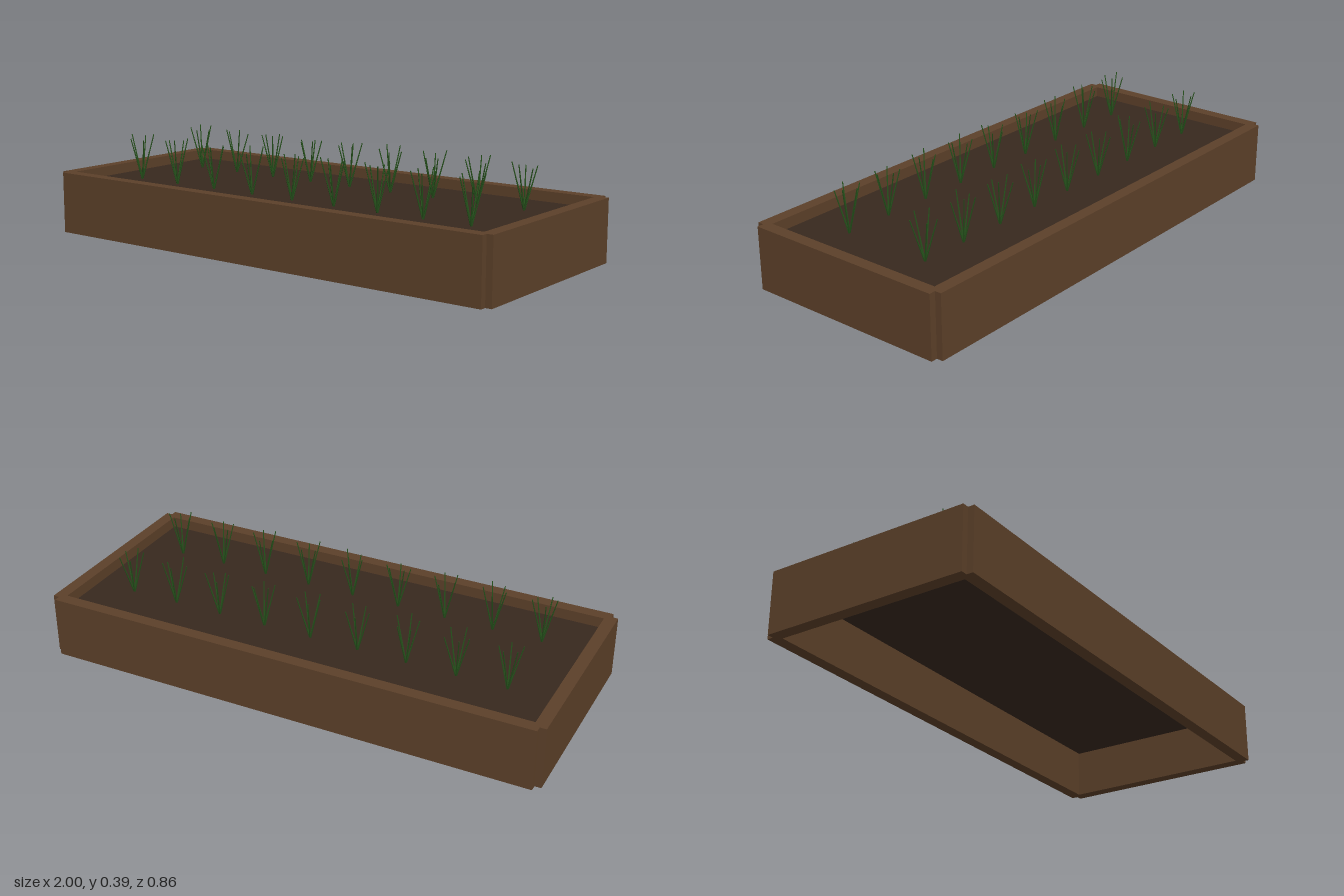
import * as THREE from 'three';

export function createModel() {
  const group = new THREE.Group();
  const wood = new THREE.MeshStandardMaterial({ color: 0x5c4029 });
  const soilMat = new THREE.MeshStandardMaterial({ color: 0x37281e });
  const leaf = new THREE.MeshStandardMaterial({ color: 0x244f1a, flatShading: true });

  const box = (name, w, h, d, x, y, z, material) => {
    const mesh = new THREE.Mesh(new THREE.BoxGeometry(w, h, d), material);
    mesh.name = name;
    mesh.position.set(x, y, z);
    group.add(mesh);
  };

  // Four boards, open underneath; the long ones stand proud of the ends
  const H = 0.243;
  box('frontBoard', 1.95, H, 0.048, 0, H / 2, 0.406, wood);
  box('backBoard', 1.95, H, 0.048, 0, H / 2, -0.406, wood);
  box('leftBoard', 0.048, H, 0.81, 0.976, H / 2, 0, wood);
  box('rightBoard', 0.048, H, 0.81, -0.976, H / 2, 0, wood);

  // Soil slab with a narrow gap all round
  const soilTop = 0.205;
  box('soil', 1.89, 0.015, 0.75, 0, soilTop - 0.0075, 0, soilMat);

  // Seedlings: two rows of nine, five splayed blades each
  let seed = 7;
  const rand = () => (seed = (seed * 16807) % 2147483647) / 2147483647;
  const bladeGeo = new THREE.CylinderGeometry(0.002, 0.0035, 1, 5);
  bladeGeo.translate(0, 0.5, 0);
  const up = new THREE.Vector3(0, 1, 0);

  for (const z of [-0.18, 0.18]) {
    for (let i = 0; i < 9; i++) {
      const plant = new THREE.Group();
      plant.name = 'seedling';
      plant.position.set((i - 4) * 0.195, soilTop - 0.003, z);
      const turn = rand() * Math.PI * 2;
      for (let k = 0; k < 5; k++) {
        const a = turn + (k * Math.PI * 2) / 5 + (rand() - 0.5) * 0.3;
        const reach = 0.043 + rand() * 0.007;
        const tip = new THREE.Vector3(Math.cos(a) * reach, 0.16 + rand() * 0.026, Math.sin(a) * reach);
        const blade = new THREE.Mesh(bladeGeo, leaf);
        blade.name = 'blade';
        blade.scale.y = tip.length();
        blade.quaternion.setFromUnitVectors(up, tip.normalize());
        plant.add(blade);
      }
      group.add(plant);
    }
  }
  return group;
}
